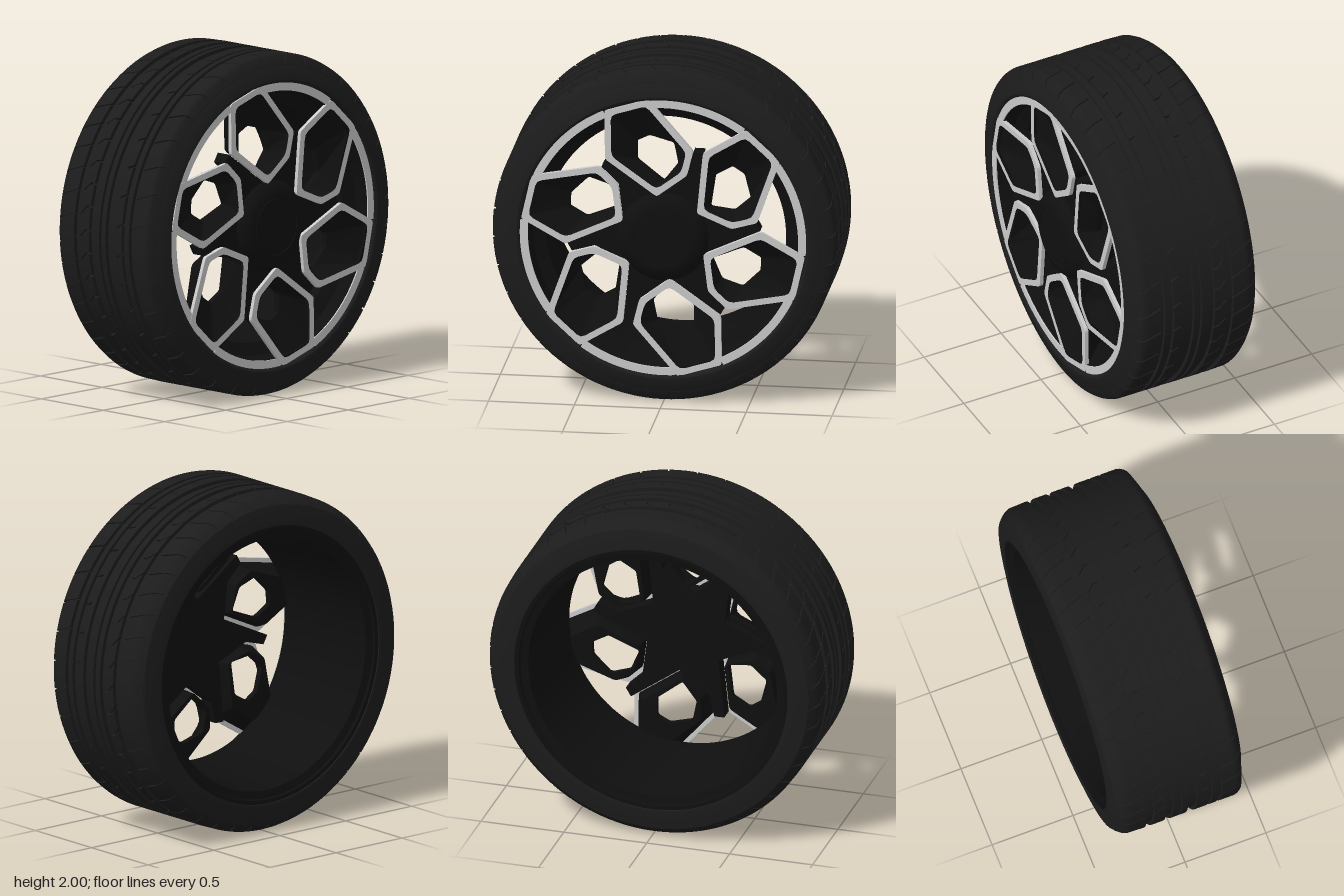
import * as THREE from 'three';
import { mergeGeometries, toCreasedNormals } from 'three/addons/utils/BufferGeometryUtils.js';

const rubber = new THREE.MeshStandardMaterial({ color: 0x1c1c1c });
const black = new THREE.MeshStandardMaterial({ color: 0x0f0f0f, side: THREE.DoubleSide });
const silver = new THREE.MeshStandardMaterial({ color: 0xcccccc });

const COUNT = 6;
const V = (x, y) => new THREE.Vector2(x, y);

function addMesh(parent, name, geometry, material) {
  const mesh = new THREE.Mesh(geometry, material);
  mesh.name = name;
  parent.add(mesh);
  return mesh;
}

// Revolve [radius, z] points about the axle
function revolve(points, segments = 120) {
  const g = new THREE.LatheGeometry(points.map(p => V(p[0], p[1])), segments);
  g.rotateX(Math.PI / 2);
  return toCreasedNormals(g, 0.45);
}

// Radius of a [z, radius] profile at a given z
function radiusAt(profile, z) {
  for (let i = 1; i < profile.length; i++) {
    const [za, ra] = profile[i - 1], [zb, rb] = profile[i];
    const t = (z - za) / (zb - za);
    if (t <= 1 || i === profile.length - 1) return ra + (rb - ra) * t;
  }
}

// Ring of tread blocks separated by narrow, slanted cuts
function treadBlocks(count, gap, profile, skew) {
  const z0 = profile[0][0], z1 = profile[profile.length - 1][0];
  const blocks = [];
  for (let i = 0; i < count; i++) {
    const g = new THREE.BoxGeometry(1, 1, 1, 3, 1, 8);
    const p = g.attributes.position;
    for (let k = 0; k < p.count; k++) {
      const s = p.getZ(k) + 0.5;
      const z = z0 + (z1 - z0) * s;
      const a = -((i + p.getX(k) * (1 - gap)) * Math.PI * 2 / count + skew(s));
      const r = radiusAt(profile, z) - (p.getY(k) > 0 ? 0 : 0.05);
      p.setXYZ(k, r * Math.cos(a), r * Math.sin(a), z);
    }
    g.computeVertexNormals();
    blocks.push(g);
  }
  return mergeGeometries(blocks);
}

// Move a clockwise outline inward by d
function inset(pts, d) {
  const n = pts.length;
  const normal = (a, b) => V(b.y - a.y, a.x - b.x).normalize();
  return pts.map((p, i) => {
    const n1 = normal(pts[(i + n - 1) % n], p), n2 = normal(p, pts[(i + 1) % n]);
    return p.clone().addScaledVector(n1.clone().add(n2), d / (1 + n1.dot(n2)));
  });
}

// Soften each corner with three points
function soften(pts, d) {
  const n = pts.length;
  return pts.flatMap((p, i) => {
    const toward = q => p.clone().addScaledVector(q.clone().sub(p).normalize(), d);
    const a = toward(pts[(i + n - 1) % n]), b = toward(pts[(i + 1) % n]);
    const mid = a.clone().add(b).multiplyScalar(0.25).addScaledVector(p, 0.5);
    return [a, mid, b];
  });
}

// Skin a closed series of loops given as [points, z]
function loft(loops) {
  const pos = [], n = loops[0][0].length;
  const put = (l, i) => pos.push(l[0][i % n].x, l[0][i % n].y, l[1]);
  for (let k = 0; k < loops.length - 1; k++) {
    const a = loops[k], b = loops[k + 1];
    for (let i = 0; i < n; i++) {
      put(a, i); put(a, i + 1); put(b, i);
      put(b, i); put(a, i + 1); put(b, i + 1);
    }
  }
  const g = new THREE.BufferGeometry();
  g.setAttribute('position', new THREE.Float32BufferAttribute(pos, 3));
  g.computeVertexNormals();
  return g;
}

function extrude(shape, z0, z1) {
  const g = new THREE.ExtrudeGeometry(shape, { depth: z1 - z0, bevelEnabled: false, curveSegments: 24 });
  return g.translate(0, 0, z0);
}

function buildTyre(wheel) {
  const tyre = new THREE.Group();
  tyre.name = 'tyre';
  wheel.add(tyre);

  // Carcass with plain ribs between the grooves
  const floor = 0.978, shoulder = 0.988;
  const ribs = [[-0.072, -0.032], [-0.015, 0.02], [0.075, 0.107], [0.17, 0.208]];
  const profile = [
    [0.81, -0.37], [0.825, -0.418], [0.86, -0.418], [0.945, -0.403], [0.972, -0.366],
    [shoulder, -0.34], [shoulder, -0.24], [floor, -0.235],
  ];
  for (const [a, b] of ribs) profile.push([floor, a], [1, a], [1, b], [floor, b]);
  profile.push([floor, 0.232], [shoulder, 0.237], [shoulder, 0.335], [0.972, 0.35], [0.935, 0.373],
    [0.865, 0.399], [0.85, 0.40], [0.838, 0.393], [0.82, 0.36]);
  addMesh(tyre, 'carcass', revolve(profile), rubber);

  // Patterned tread bands
  const rear = [[-0.401, 0.948], [-0.375, 0.976], [-0.345, 0.996], [-0.235, 1]];
  const front = [[0.232, 1], [0.33, 1], [0.355, 0.985], [0.373, 0.938]];
  const bend = s => 0.06 + 0.08 * Math.min(s, 0.6);
  addMesh(tyre, 'rearShoulderBlocks', treadBlocks(46, 0.07, rear, s => 0.06 * s), rubber);
  addMesh(tyre, 'chevronBlocks', treadBlocks(46, 0.08, [[-0.19, 1], [-0.115, 1]], bend), rubber);
  addMesh(tyre, 'tickBlocks', treadBlocks(36, 0.07, [[0.105, 1], [0.15, 1]], s => 0.02 * s), rubber);
  addMesh(tyre, 'frontShoulderBlocks', treadBlocks(36, 0.06, front, s => 0.05 * s), rubber);
}

function buildRim(wheel) {
  const rim = new THREE.Group();
  rim.name = 'rim';
  wheel.add(rim);

  // Barrel, open at the back
  addMesh(rim, 'barrel', revolve([
    [0.848, 0.365], [0.84, 0.378], [0.785, 0.378], [0.77, 0.30], [0.70, 0.26], [0.70, 0.15],
    [0.715, 0], [0.735, -0.30], [0.75, -0.385], [0.795, -0.395], [0.80, -0.41], [0.83, -0.412],
  ]), black);

  // Hub dome with raised cap
  addMesh(rim, 'hub', revolve([
    [0.265, 0.30], [0.27, 0.355], [0.245, 0.388], [0.22, 0.407], [0.19, 0.417],
    [0.169, 0.419], [0.168, 0.412], [0.164, 0.412], [0.163, 0.419], [0.001, 0.42],
  ], 64), black);

  // Skewed six-sided spoke pocket
  const outline = [V(-0.342, 0.757), V(-0.086, 0.837), V(0.176, 0.532), V(0.139, 0.382), V(-0.037, 0.249), V(-0.337, 0.463)];
  const hole = [V(-0.166, 0.548), V(-0.092, 0.585), V(0.05, 0.545), V(0.075, 0.42), V(-0.01, 0.308), V(-0.166, 0.432)];
  const wallOutline = inset(outline, 0.025);
  const back = wallOutline.map((p, i) => p.clone().lerp(hole[i], 0.45));
  const outer = soften(outline, 0.015), inner = soften(inset(outline, 0.037), 0.03);
  const holeLoop = soften(hole, 0.012);
  const pocketGeometry = loft([
    [soften(wallOutline, 0.015), 0.365], [soften(back, 0.02), 0.24],
    [holeLoop, 0.24], [holeLoop, 0.275], [inner, 0.37],
  ]);

  const borderShape = new THREE.Shape(outer);
  borderShape.holes.push(new THREE.Path(inner));
  const borderGeometry = extrude(borderShape, 0.365, 0.388);

  // Web filling the space between two neighbouring pockets
  const turn = p => p.clone().rotateAround(V(0, 0), -Math.PI / 3);
  const webShape = new THREE.Shape([
    V(0, 0), outline[4], outline[3], outline[2].clone().lerp(outline[3], 0.1),
    turn(outline[5]).lerp(turn(outline[4]), 0.02), turn(outline[4]),
  ]);
  const webGeometry = extrude(webShape, 0.27, 0.36);

  // Bright rim arc between pockets
  const a0 = THREE.MathUtils.degToRad(54.9), a1 = THREE.MathUtils.degToRad(95);
  const arcShape = new THREE.Shape();
  arcShape.absarc(0, 0, 0.836, a0, a1, false);
  arcShape.absarc(0, 0, 0.787, a1, a0, true);
  const arcGeometry = extrude(arcShape, 0.37, 0.386);

  for (let i = 0; i < COUNT; i++) {
    const spoke = new THREE.Group();
    spoke.name = 'spoke' + (i + 1);
    spoke.rotation.z = i * Math.PI * 2 / COUNT;
    addMesh(spoke, 'pocket', pocketGeometry, black);
    addMesh(spoke, 'pocketBorder', borderGeometry, silver);
    addMesh(spoke, 'web', webGeometry, black);
    addMesh(spoke, 'rimArc', arcGeometry, silver);
    rim.add(spoke);
  }
}

export function createModel() {
  const model = new THREE.Group();
  model.name = 'wheel';
  const wheel = new THREE.Group();
  wheel.name = 'wheelAssembly';
  wheel.position.y = 1;
  model.add(wheel);
  buildTyre(wheel);
  buildRim(wheel);
  return model;
}
